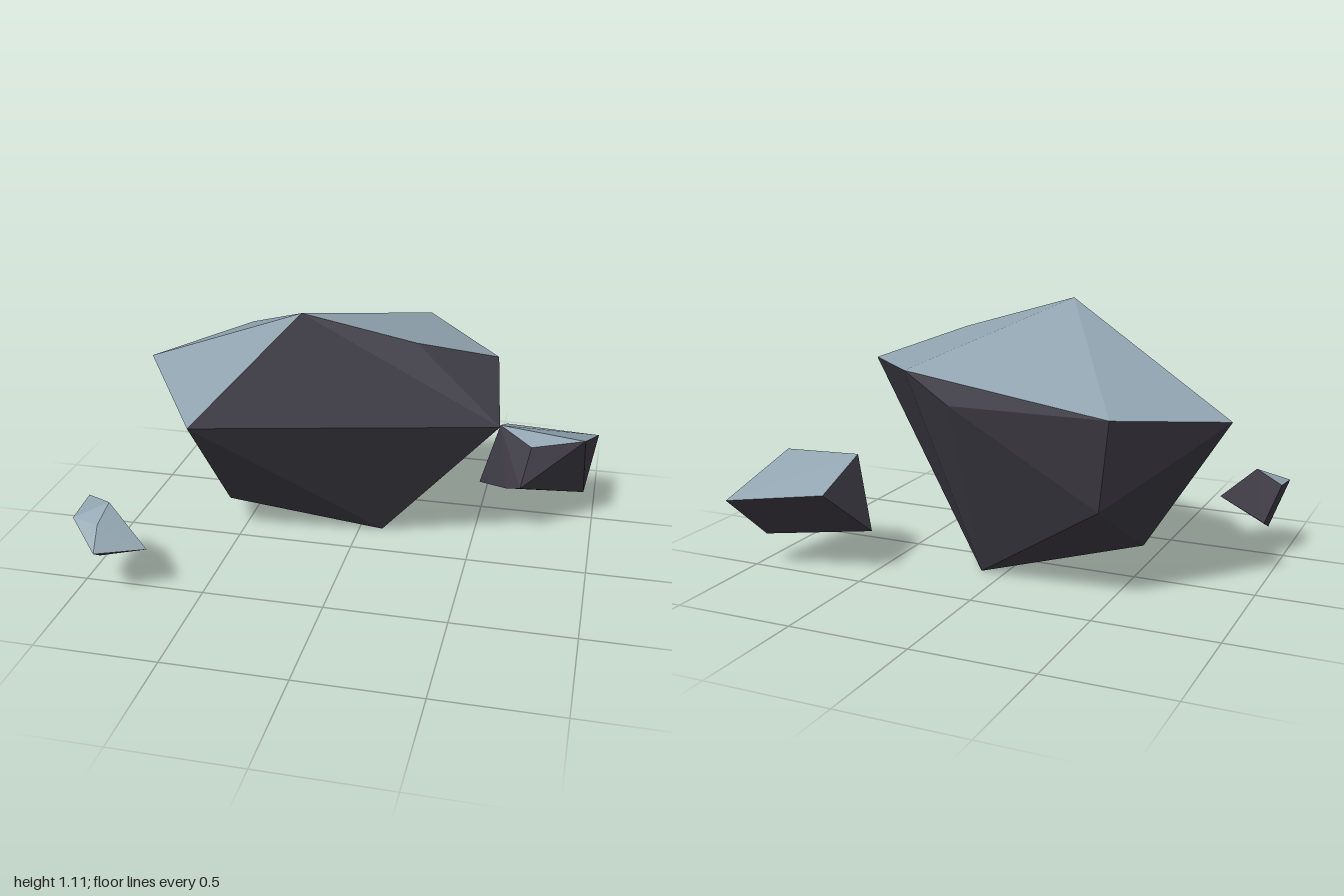
import * as THREE from 'three';
import { ConvexGeometry } from 'three/addons/geometries/ConvexGeometry.js';

const stone = new THREE.MeshStandardMaterial({ color: 0x413e48 });
stone.name = 'dark stone';
const frost = new THREE.MeshStandardMaterial({ color: 0x92a5b1 });
frost.name = 'pale blue-grey top';

// Faceted rock: the hull of its corners, with faces steeper than the limit in dark stone
function makeRock(name, corners, limit) {
  const hull = new ConvexGeometry(corners.map((p) => new THREE.Vector3(...p)));
  const pos = hull.attributes.position;
  const top = [], body = [];
  const a = new THREE.Vector3(), b = new THREE.Vector3(), c = new THREE.Vector3();
  const normal = new THREE.Vector3();
  for (let i = 0; i < pos.count; i += 3) {
    a.fromBufferAttribute(pos, i);
    b.fromBufferAttribute(pos, i + 1);
    c.fromBufferAttribute(pos, i + 2);
    new THREE.Triangle(a, b, c).getNormal(normal);
    (normal.y > limit ? top : body).push(...a, ...b, ...c);
  }
  const rock = new THREE.Group();
  rock.name = name;
  for (const [part, points, material] of [['Top', top, frost], ['Body', body, stone]]) {
    const geometry = new THREE.BufferGeometry();
    geometry.setAttribute('position', new THREE.Float32BufferAttribute(points, 3));
    geometry.computeVertexNormals();
    const mesh = new THREE.Mesh(geometry, material);
    mesh.name = name + part;
    rock.add(mesh);
  }
  return rock;
}

export function createModel() {
  const model = new THREE.Group();
  model.name = 'floatingRocks';

  // Large central rock tapering to a point
  model.add(makeRock('mainRock', [
    [-0.93, 0.735, -0.19], [-0.58, 0.655, 0.36], [-0.155, 1.105, 0.175],
    [0.28, 0.975, 0.055], [0.58, 0.86, -0.17], [0.62, 0.65, 0.06],
    [0.24, 0.9, -0.55], [-0.585, 0.79, -0.57], [0.05, 0.785, -0.57],
    [-0.51, 0.41, -0.46], [-0.55, 0.155, -0.04], [0.1, 0, -0.19],
  ], 0.675));

  // Medium rock on the left
  model.add(makeRock('mediumRock', [
    [0.585, 0.485, -0.34], [0.73, 0.44, -0.235], [0.95, 0.46, -0.305],
    [1, 0.33, -0.68], [0.955, 0.135, -0.48], [0.695, 0.265, -0.19],
    [0.5, 0.18, -0.39], [0.59, 0.38, -0.605], [0.63, 0.235, -0.24],
  ], 0.5));

  // Small rock at the front right
  model.add(makeRock('smallRock', [
    [-0.87, 0.37, 0.505], [-1, 0.34, 0.405], [-0.94, 0.175, 0.375],
    [-0.93, 0.12, 0.505], [-0.875, 0.23, 0.68], [-0.885, 0.315, 0.6],
    [-0.7, 0.21, 0.565], [-1, 0.32, 0.57],
  ], 0.5));

  return model;
}
